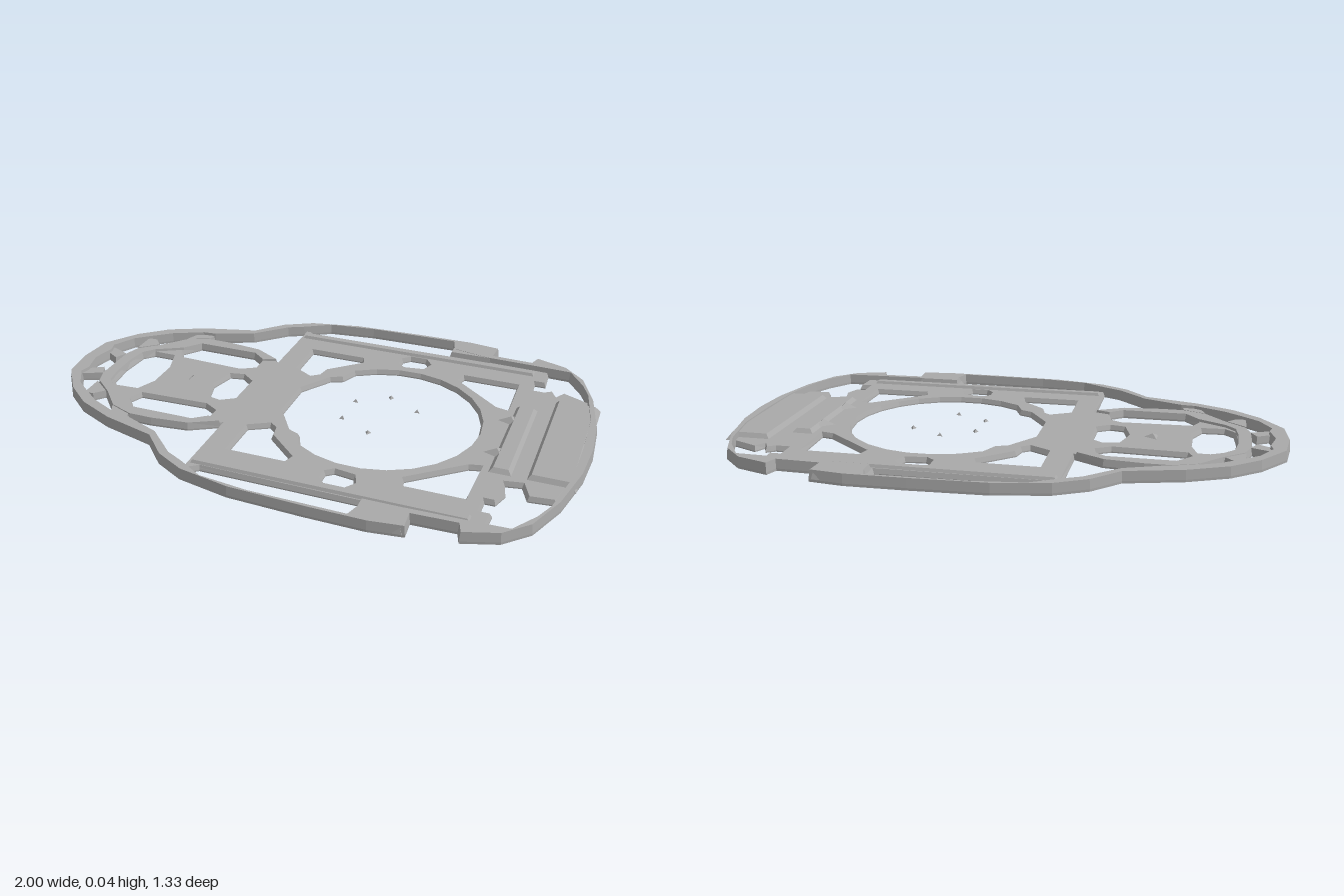
import * as THREE from 'three';

const DECK = 0.021, RING = 0.03, RIM = 0.041;

export function createModel() {
  const group = new THREE.Group();
  const grey = new THREE.MeshStandardMaterial({ color: 0xa9a9a9, flatShading: true });
  grey.name = 'plain grey';

  const add = (name, geometry) => {
    const mesh = new THREE.Mesh(geometry, grey);
    mesh.name = name;
    group.add(mesh);
    return mesh;
  };
  const flip = (pts) => pts.map(([x, y]) => [x, -y]).reverse();
  const contour = (pts) => {
    const v = pts.map(([x, y]) => new THREE.Vector2(x, y));
    return THREE.ShapeUtils.isClockWise(v) ? v.reverse() : v;
  };

  // Flat slab standing on the ground, its walls drawn in towards the top
  const slab = (name, outline, holes, height, draft) => {
    const shape = new THREE.Shape(contour(outline));
    shape.holes = holes.map((h) => new THREE.Path(contour(h)));
    const geo = new THREE.ExtrudeGeometry(shape, {
      depth: height * 0.2, bevelThickness: height * 0.8,
      bevelSize: draft, bevelOffset: -draft, bevelSegments: 1,
    });
    geo.rotateX(-Math.PI / 2);
    const p = geo.attributes.position;
    for (let i = 0; i < p.count; i++) p.setY(i, Math.max(0, p.getY(i)));
    geo.computeVertexNormals();
    return add(name, geo);
  };

  // Outer rim: half outlines, mirrored about the long axis
  const outer = [
    [-0.985, 0.13], [-0.9, 0.25], [-0.8, 0.335], [-0.66, 0.4], [-0.46, 0.455], [-0.37, 0.55],
    [-0.26, 0.61], [-0.07, 0.65], [0.2, 0.662], [0.41, 0.665], [0.53, 0.65], [0.525, 0.58],
    [0.675, 0.575], [0.69, 0.62], [0.81, 0.58], [0.89, 0.5], [0.95, 0.35], [0.99, 0.16],
  ];
  const inner = [
    [-0.925, 0.085], [-0.935, 0.12], [-0.89, 0.2], [-0.83, 0.25], [-0.765, 0.3], [-0.65, 0.355],
    [-0.6, 0.36], [-0.45, 0.42], [-0.34, 0.525], [-0.28, 0.555], [-0.18, 0.615], [0, 0.638],
    [0.34, 0.645], [0.36, 0.58], [0.5, 0.55], [0.7, 0.545], [0.83, 0.54], [0.89, 0.45],
    [0.92, 0.38], [0.955, 0.2],
  ];
  slab('outerRim', [[-1, 0], ...outer, [1, 0], ...flip(outer)],
    [[[-0.945, 0], ...inner, [0.96, 0], ...flip(inner)]], RIM, 0.004);

  // Central deck outline
  const ringOuter = [
    [-0.87, 0.09], [-0.85, 0.15], [-0.775, 0.215], [-0.7, 0.3], [-0.61, 0.335],
    [-0.52, 0.335], [-0.38, 0.32], [-0.275, 0.26],
  ];
  const side = [
    [-0.275, 0.565], [-0.25, 0.565], [-0.22, 0.542], [0.345, 0.545], [0.345, 0.65],
    [0.5, 0.645], [0.51, 0.565], [0.75, 0.56], [0.755, 0.455], [0.715, 0.455], [0.715, 0.39],
  ];
  const endBack = [[0.76, 0.39], [0.79, 0.41], [0.81, 0.37], [0.83, 0.41], [0.94, 0.36], [0.98, 0.1]];
  const endFront = [[0.75, 0.39], [0.77, 0.33], [0.755, 0.27], [0.81, 0.26], [0.84, 0.33], [0.93, 0.32], [0.98, 0.1]];
  const deckOutline = [
    [-0.87, 0], ...ringOuter, ...side, ...endBack, ...flip(endFront), ...flip(side), ...flip(ringOuter),
  ];

  // Deck openings that occur on both sides
  const paired = [
    [[-0.67, 0.21], [-0.62, 0.275], [-0.385, 0.275], [-0.34, 0.24], [-0.34, 0.185], [-0.39, 0.155], [-0.65, 0.165]],
    [[-0.18, 0.405], [0.03, 0.405], [0.04, 0.375], [-0.075, 0.27], [-0.085, 0.22], [-0.11, 0.2], [-0.18, 0.24]],
    [[0.45, 0.405], [0.655, 0.405], [0.66, 0.205], [0.62, 0.215], [0.44, 0.365]],
    [[0.185, 0.46], [0.21, 0.485], [0.27, 0.485], [0.295, 0.45], [0.28, 0.41], [0.21, 0.4], [0.185, 0.42]],
  ];
  // Large round opening with stepped shoulders
  const round = [];
  for (let i = -9; i <= 9; i++) {
    const a = (i / 9) * 2.2;
    round.push([0.25 + 0.352 * Math.cos(a), 0.357 * Math.sin(a)]);
  }
  const shoulder = [[0.015, 0.225], [-0.03, 0.205], [-0.105, 0.09]];
  const deckHoles = [
    ...paired, ...paired.map(flip),
    [[-0.815, 0], [-0.805, 0.12], [-0.77, 0.155], [-0.69, 0.155], [-0.66, 0.06], [-0.66, -0.06], [-0.69, -0.13], [-0.77, -0.135], [-0.805, -0.1]],
    [[-0.43, 0], [-0.405, 0.095], [-0.355, 0.105], [-0.31, 0.07], [-0.31, -0.07], [-0.355, -0.1], [-0.405, -0.09]],
    [...round, ...shoulder, ...flip(shoulder)],
  ];
  slab('deck', deckOutline, deckHoles, DECK, 0.007);

  // Raised band round the tapered end
  const ringInner = [
    [-0.815, 0.05], [-0.805, 0.12], [-0.77, 0.16], [-0.67, 0.215], [-0.62, 0.275], [-0.385, 0.275], [-0.335, 0.235],
  ];
  slab('endRing', [
    ...flip(ringOuter), [-0.87, 0], ...ringOuter, ...ringInner.slice().reverse(), ...flip(ringInner).reverse(),
  ], [], RING, 0.006);

  // Short bridges between ring and rim
  const bridges = [
    [[-0.95, 0.08], [-0.885, 0.04], [-0.86, 0.09], [-0.94, 0.125]],
    [[-0.85, 0.25], [-0.85, 0.15], [-0.775, 0.21], [-0.81, 0.25]],
    [[-0.67, 0.37], [-0.7, 0.295], [-0.61, 0.33], [-0.6, 0.37]],
  ];
  for (const b of bridges) {
    slab('bridge', b, [], RING, 0.003);
    slab('bridge', flip(b), [], RING, 0.003);
  }

  // Low pads with sloping sides, set into the deck
  const pad = (name, x0, x1, z0, z1, top, inset) => {
    const w = x1 - x0, d = z1 - z0, y0 = 0.01;
    const geo = new THREE.BoxGeometry(w, top - y0, d);
    const p = geo.attributes.position;
    for (let i = 0; i < p.count; i++) {
      if (p.getY(i) > 0) {
        p.setX(i, p.getX(i) * (1 - (2 * inset) / w));
        p.setZ(i, p.getZ(i) * (1 - (2 * inset) / d));
      }
    }
    geo.computeVertexNormals();
    add(name, geo).position.set((x0 + x1) / 2, (y0 + top) / 2, (z0 + z1) / 2);
  };
  for (const s of [-1, 1]) {
    pad('sideRail', -0.265, 0.705, s * 0.515 - 0.025, s * 0.515 + 0.025, 0.031, 0.012);
    pad('sidePad', 0.35, 0.52, s * 0.6 - 0.055, s * 0.6 + 0.055, 0.04, 0.008);
  }
  pad('endDeck', 0.81, 0.98, -0.33, 0.24, 0.037, 0.02);
  pad('endRidge', 0.68, 0.775, -0.24, 0.24, 0.036, 0.022);

  // Small pointed tabs and studs
  const spike = (name, x, y, z, r, h, turn) => {
    const mesh = add(name, new THREE.ConeGeometry(r, h, 3));
    mesh.position.set(x, y, z);
    mesh.rotation.y = turn;
  };
  for (const [x, y, z] of [[0.69, 0.034, -0.12], [0.69, 0.034, 0.11], [-0.52, 0.025, -0.01]]) {
    spike('pointedTab', x, y, z, 0.045, 0.02, x);
  }
  for (const [x, z] of [[0.12, -0.07], [0.235, -0.14], [0.355, -0.075], [0.115, 0.065], [0.235, 0.13]]) {
    spike('centreStud', x, 0.022, z, 0.012, 0.012, x * 9);
  }
  return group;
}
